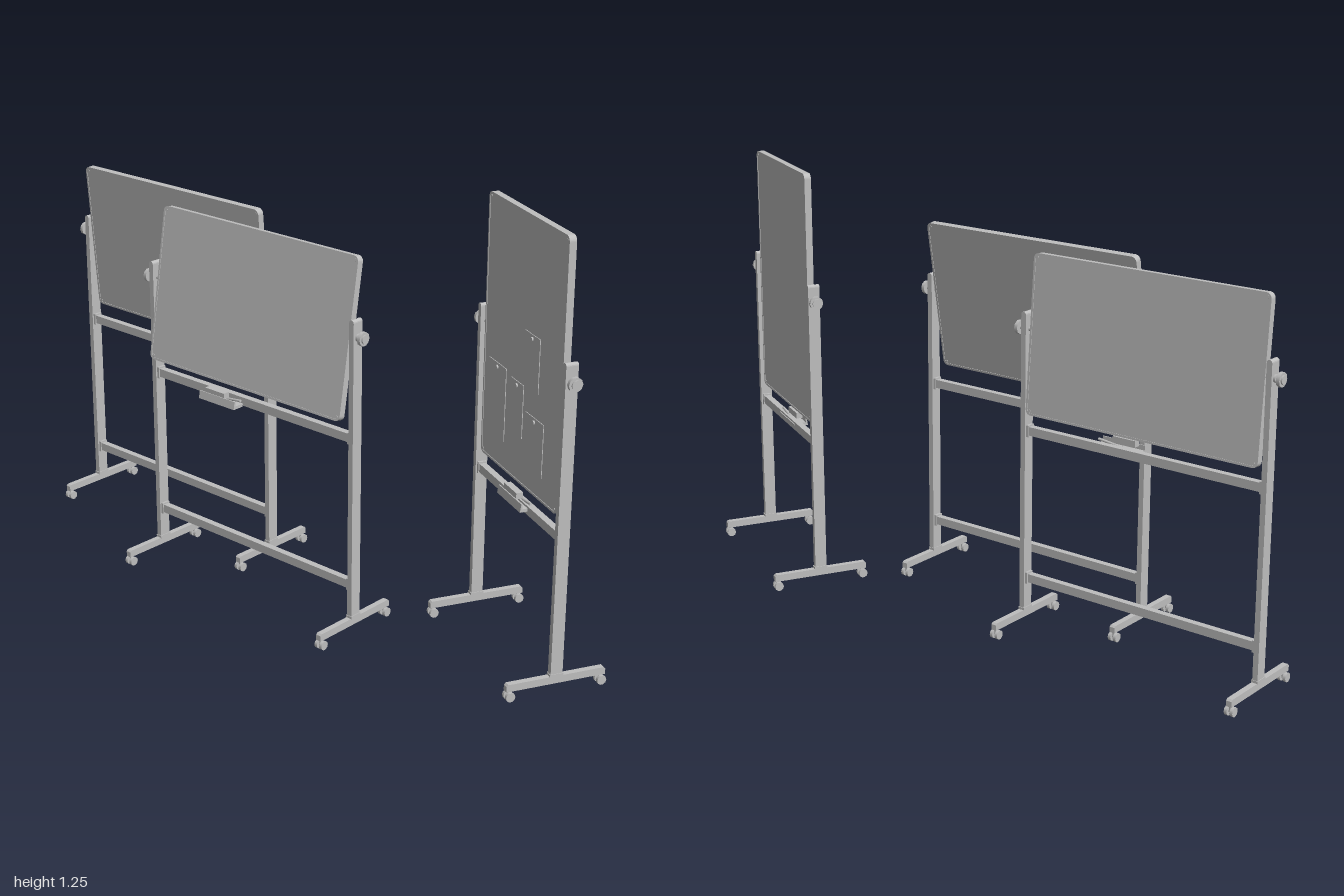
import * as THREE from 'three';

const grey = new THREE.MeshStandardMaterial({ color: 0xbebebe });
grey.name = 'light grey';

function add(parent, name, geometry, x = 0, y = 0, z = 0) {
  const mesh = new THREE.Mesh(geometry, grey);
  mesh.name = name;
  mesh.position.set(x, y, z);
  parent.add(mesh);
  return mesh;
}
const box = (w, h, d) => new THREE.BoxGeometry(w, h, d);
const rod = (r, len, sides = 10) => new THREE.CylinderGeometry(r, r, len, sides).rotateZ(Math.PI / 2);

function roundedRect(Type, w, h, r) {
  const p = new Type(), x = w / 2, y = h / 2;
  p.moveTo(-x + r, -y).lineTo(x - r, -y).absarc(x - r, -y + r, r, -Math.PI / 2, 0);
  p.lineTo(x, y - r).absarc(x - r, y - r, r, 0, Math.PI / 2);
  p.lineTo(-x + r, y).absarc(-x + r, y - r, r, Math.PI / 2, Math.PI);
  p.lineTo(-x, -y + r).absarc(-x + r, -y + r, r, Math.PI, Math.PI * 1.5);
  return p;
}
function plate(shape, depth) {
  return new THREE.ExtrudeGeometry(shape, { depth, bevelEnabled: false, curveSegments: 4 })
    .translate(0, 0, -depth / 2);
}

// Tilting panel with a thin raised rim and corner caps
function makeBoard(w, h) {
  const board = new THREE.Group();
  board.name = 'board';
  add(board, 'panel', plate(roundedRect(THREE.Shape, w - 0.004, h - 0.004, 0.014), 0.017));
  const rim = roundedRect(THREE.Shape, w, h, 0.016);
  rim.holes.push(roundedRect(THREE.Path, w - 0.012, h - 0.012, 0.011));
  add(board, 'rim', plate(rim, 0.02));
  for (const sx of [-1, 1]) for (const sy of [-1, 1])
    add(board, 'cornerCap', new THREE.CylinderGeometry(0.004, 0.004, 0.02, 8).rotateX(Math.PI / 2),
      sx * (w / 2 - 0.012), sy * (h / 2 - 0.012));
  return board;
}

// Post, foot, casters and knob for one side
function makeSide(s, x) {
  const side = new THREE.Group();
  side.name = s > 0 ? 'leftLeg' : 'rightLeg';
  side.position.x = s * x;
  // Post with a rounded cap
  const post = new THREE.Shape();
  post.moveTo(-0.008, 0.045).lineTo(0.008, 0.045).lineTo(0.008, 0.922);
  post.absarc(0, 0.922, 0.008, 0, Math.PI).lineTo(-0.008, 0.045);
  add(side, 'post', plate(post, 0.035));
  add(side, 'postCollar', box(0.02, 0.008, 0.039), 0, 0.053, 0);
  // Foot bar with softened ends
  const foot = new THREE.Shape();
  foot.moveTo(-0.145, 0.029).lineTo(0.145, 0.029).lineTo(0.145, 0.045).lineTo(0.14, 0.05);
  foot.lineTo(-0.14, 0.05).lineTo(-0.145, 0.045).closePath();
  add(side, 'foot', plate(foot, 0.017).rotateY(Math.PI / 2));
  for (const z of [-0.134, 0.134]) {
    add(side, 'casterStem', new THREE.CylinderGeometry(0.005, 0.005, 0.02, 8), 0, 0.022, z);
    for (const e of [-1, 1]) add(side, 'casterWheel', rod(0.0135, 0.009), e * 0.0085, 0.0135, z);
    add(side, 'casterAxle', rod(0.004, 0.018), 0, 0.0135, z);
  }
  // Pivot and clamping knob
  add(side, 'pivot', rod(0.006, 0.055), s * 0.002, 0.88, 0);
  add(side, 'knobCollar', rod(0.011, 0.006), s * 0.011, 0.88, 0);
  add(side, 'knob', rod(0.02, 0.01), s * 0.026, 0.88, 0);
  add(side, 'knobCap', rod(0.013, 0.006), s * 0.032, 0.88, 0);
  return side;
}

// Small lipped tray with an eraser and a marker
function makeTray(depth) {
  const tray = new THREE.Group();
  tray.name = 'tray';
  const profile = new THREE.Shape();
  profile.moveTo(-depth / 2 + 0.003, -0.011).lineTo(depth / 2, -0.011).lineTo(depth / 2 - 0.004, 0.012);
  profile.lineTo(depth / 2 - 0.007, 0.012).lineTo(depth / 2 - 0.007, -0.002).lineTo(-depth / 2, -0.002).closePath();
  add(tray, 'trayBody', plate(profile, 0.14).rotateY(-Math.PI / 2));
  add(tray, 'eraser', box(0.075, 0.018, 0.02), -0.012, 0.016, 0.003);
  add(tray, 'marker', rod(0.004, 0.08, 8), 0.03, 0.004, -0.009).rotation.z = 0.12;
  return tray;
}

function makeStand({ name, at, turn = 0, tilt, legX, boardW, boardH, boardY, bars, tray }) {
  const stand = new THREE.Group();
  stand.name = name;
  stand.position.set(at[0], 0, at[1]);
  stand.rotation.y = turn;
  for (const s of [-1, 1]) {
    stand.add(makeSide(s, legX));
    for (const y of bars) add(stand, 'barBracket', box(0.01, 0.034, 0.026), s * (legX - 0.011), y, 0);
  }
  for (const y of bars) add(stand, 'crossbar', box(legX * 2 - 0.014, 0.025, 0.02), 0, y, 0);
  const board = makeBoard(boardW, boardH);
  board.position.y = boardY;
  board.rotation.x = tilt;
  stand.add(board);
  const t = makeTray(tray.depth);
  t.position.set(...tray.at);
  t.rotation.y = tray.yaw || 0;
  // the lip faces the front
  t.scale.z = 1;
  stand.add(t);
  return { stand, board };
}

export function createModel() {
  const model = new THREE.Group();
  model.name = 'whiteboards';

  // Two wide boards leaning opposite ways
  const wide = { legX: 0.387, boardW: 0.742, boardH: 0.454, boardY: 0.867, bars: [0.148, 0.588] };
  model.add(makeStand({ ...wide, name: 'rearWideStand', at: [-0.577, -0.033], tilt: 0.075,
    tray: { at: [0.09, 0.592, 0.036], depth: 0.036 } }).stand);
  model.add(makeStand({ ...wide, name: 'frontWideStand', at: [-0.073, 0.162], tilt: -0.165,
    tray: { at: [-0.09, 0.588, 0.036], depth: 0.038 } }).stand);

  // Tall board turned to the side
  const { stand, board } = makeStand({ name: 'tallStand', at: [0.703, -0.066], turn: -0.478, tilt: 0,
    legX: 0.25, boardW: 0.458, boardH: 0.745, boardY: 0.877, bars: [0.449],
    tray: { at: [0, 0.458, 0.01], depth: 0.046 } });
  model.add(stand);

  // Paper notes held by magnets: x, y, width, height
  for (const [x, y, w, h] of [[-0.14, 0.69, 0.105, 0.21], [-0.02, 0.71, 0.075, 0.15],
    [0.058, 0.865, 0.085, 0.15], [0.087, 0.645, 0.105, 0.15]]) {
    add(board, 'note', box(w, h, 0.002), x, y - 0.877, 0.0105);
    add(board, 'magnet', new THREE.CylinderGeometry(0.006, 0.006, 0.006, 10).rotateX(Math.PI / 2),
      x, y + h / 2 - 0.012 - 0.877, 0.013);
  }
  return model;
}
